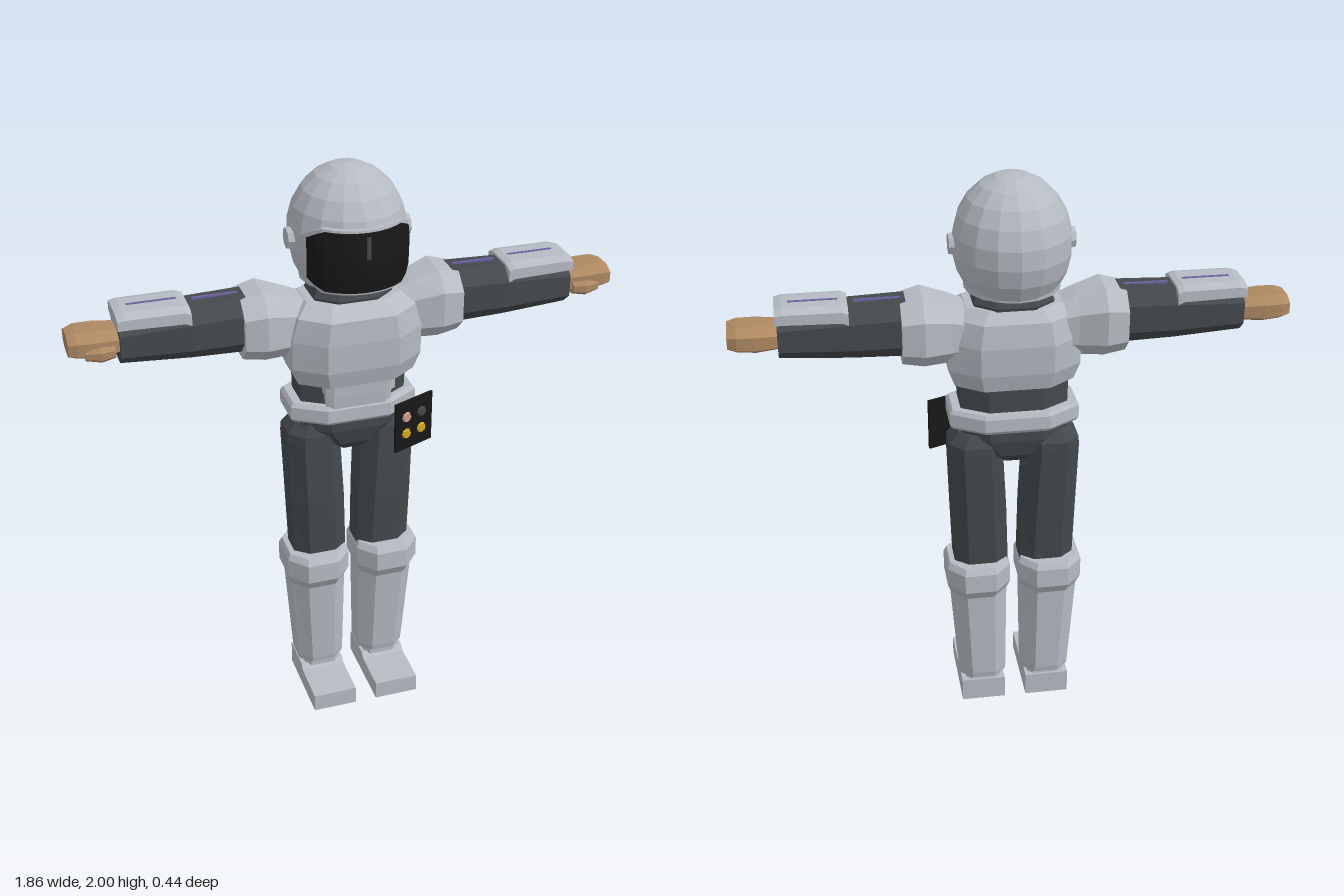
import * as THREE from 'three';

const mat = (name, color) => {
  const m = new THREE.MeshStandardMaterial({ color });
  m.name = name;
  return m;
};

// Faceted normals
function flat(geo) {
  const g = geo.index ? geo.toNonIndexed() : geo;
  g.deleteAttribute('normal');
  g.computeVertexNormals();
  return g;
}

// Chamfered eight-sided sections joined along an axis.
// 'x' rings: [x, y0, y1, z0, z1]; 'y' rings: [y, z0, z1, x0, x1]
function loft(axis, rings, k = 0.5) {
  const oct = [[1, -k], [1, k], [k, 1], [-k, 1], [-1, k], [-1, -k], [-k, -1], [k, -1]];
  const place = (t, a, b) => (axis === 'x' ? [t, a, b] : [b, t, a]);
  const point = (r, i) => {
    const [u, v] = oct[i % 8];
    const [t, a0, a1, b0, b1] = r;
    return place(t, (a0 + a1) / 2 + (u * (a1 - a0)) / 2, (b0 + b1) / 2 + (v * (b1 - b0)) / 2);
  };
  const mid = (r) => place(r[0], (r[1] + r[2]) / 2, (r[3] + r[4]) / 2);
  const first = rings[0], last = rings[rings.length - 1], pos = [];
  for (let i = 0; i < 8; i++) {
    pos.push(...mid(first), ...point(first, i + 1), ...point(first, i));
    pos.push(...mid(last), ...point(last, i), ...point(last, i + 1));
    for (let j = 0; j + 1 < rings.length; j++) {
      const a = point(rings[j], i), b = point(rings[j], i + 1);
      const c = point(rings[j + 1], i + 1), d = point(rings[j + 1], i);
      pos.push(...a, ...b, ...c, ...a, ...c, ...d);
    }
  }
  const g = new THREE.BufferGeometry();
  g.setAttribute('position', new THREE.Float32BufferAttribute(pos, 3));
  return flat(g);
}

// Mirror a geometry across x and restore its winding
function mirrored(geo) {
  const g = geo.index ? geo.toNonIndexed() : geo.clone();
  const p = g.attributes.position;
  for (let i = 0; i < p.count; i += 3) {
    const v = [0, 2, 1].map((j) => new THREE.Vector3().fromBufferAttribute(p, i + j));
    v.forEach((q, j) => p.setXYZ(i + j, -q.x, q.y, q.z));
  }
  return flat(g);
}

const box = (w, h, d, x, y, z) => new THREE.BoxGeometry(w, h, d).translate(x, y, z);

// Curved plate with cut corners, wrapped around the helmet front
function visorPlate(angle, half, offset) {
  const g = new THREE.BoxGeometry(2, 2, 1, 12, 4, 1);
  const p = g.attributes.position;
  for (let i = 0; i < p.count; i++) {
    const u = p.getX(i), v = p.getY(i);
    const s = p.getZ(i) > 0 ? 1 + offset : 0.8;
    const a = u * angle;
    const h = half * (1 - Math.max(0, Math.abs(u) - 0.7) * 1.1);
    p.setXYZ(i, 0.19 * s * Math.sin(a), 1.742 + v * h, 0.02 + (0.2 - 0.012 * v * v) * s * Math.cos(a));
  }
  return flat(g);
}

export function createModel() {
  const root = new THREE.Group();
  root.name = 'spaceSuitFigure';
  const shell = mat('light grey shell', 0xb6bbc3);
  const suit = mat('dark suit', 0x44494d);
  const skin = mat('tan skin', 0xad8862);
  const black = mat('black', 0x181818);
  const purple = mat('purple stripe', 0x6c62a0);
  const yellow = mat('yellow button', 0xd2a81e);
  const peach = mat('peach button', 0xc79c80);

  const add = (name, geo, material) => {
    const m = new THREE.Mesh(geo, material);
    m.name = name;
    root.add(m);
    return m;
  };
  const pair = (name, geo, material) => {
    add(name + 'Left', geo, material);
    add(name + 'Right', mirrored(geo), material);
  };

  // Helmet
  add('helmet', flat(new THREE.SphereGeometry(1, 16, 8, 0, Math.PI * 2, 0, 2.25)
    .scale(0.197, 0.23, 0.21).translate(0, 1.77, -0.007)), shell);
  add('helmetRim', flat(new THREE.CylinderGeometry(0.163, 0.16, 0.03, 16)
    .translate(0, 1.635, -0.01)), shell);
  add('visorFrame', visorPlate(1.2, 0.108, -0.02), shell);
  add('visor', visorPlate(1.1, 0.1, 0.01), black);
  add('visorGlint', box(0.014, 0.075, 0.004, 0, 1.795, 0.219), suit);
  pair('earDisc', flat(new THREE.CylinderGeometry(0.035, 0.042, 0.03, 8)
    .rotateZ(-Math.PI / 2).translate(0.192, 1.77, 0)), shell);

  // Neck and collar
  add('neck', flat(new THREE.CylinderGeometry(0.08, 0.08, 0.1, 8).translate(0, 1.59, 0)), skin);
  add('collar', loft('y', [
    [1.55, -0.1, 0.11, -0.125, 0.125], [1.575, -0.105, 0.115, -0.135, 0.135],
    [1.605, -0.09, 0.1, -0.12, 0.12]]), suit);

  // Torso
  add('chestPlate', loft('y', [
    [1.29, -0.125, 0.16, -0.2, 0.2], [1.35, -0.14, 0.175, -0.222, 0.222],
    [1.45, -0.145, 0.18, -0.222, 0.222], [1.53, -0.135, 0.175, -0.2, 0.2],
    [1.567, -0.1, 0.115, -0.16, 0.16]], 0.55), shell);
  add('waist', loft('y', [
    [1.12, -0.11, 0.11, -0.18, 0.18], [1.31, -0.11, 0.115, -0.185, 0.185]]), suit);
  add('abdomenPlate', loft('y', [
    [1.18, 0.02, 0.13, -0.11, 0.11], [1.24, 0.02, 0.135, -0.115, 0.115],
    [1.25, 0.02, 0.155, -0.12, 0.12], [1.3, 0.02, 0.157, -0.12, 0.12]], 0.8), shell);
  add('belt', loft('y', [
    [1.133, -0.13, 0.125, -0.21, 0.21], [1.145, -0.138, 0.135, -0.22, 0.22],
    [1.19, -0.138, 0.135, -0.22, 0.22], [1.203, -0.13, 0.125, -0.21, 0.21]]), shell);
  add('pelvis', loft('y', [
    [0.99, -0.06, 0.05, -0.06, 0.06], [1.03, -0.1, 0.09, -0.11, 0.11],
    [1.09, -0.115, 0.108, -0.175, 0.175], [1.14, -0.115, 0.11, -0.185, 0.185]]), suit);

  // Legs
  pair('thigh', loft('y', [
    [0.55, -0.08, 0.075, 0.02, 0.21], [0.8, -0.095, 0.085, 0.027, 0.218],
    [1.04, -0.112, 0.085, 0.04, 0.225], [1.07, -0.112, 0.085, 0.04, 0.222],
    [1.11, -0.09, 0.07, 0.06, 0.19]]), suit);
  pair('kneeCuff', loft('y', [
    [0.46, -0.105, 0.1, 0.03, 0.225], [0.5, -0.128, 0.125, 0.016, 0.24],
    [0.57, -0.128, 0.125, 0.016, 0.24], [0.592, -0.115, 0.11, 0.026, 0.23]]), shell);
  pair('shin', loft('y', [
    [0.1, -0.088, 0.068, 0.034, 0.198], [0.12, -0.092, 0.072, 0.032, 0.2],
    [0.48, -0.108, 0.098, 0.028, 0.226]]), shell);
  pair('ankle', loft('y', [
    [0.05, -0.08, 0.06, 0.05, 0.18], [0.105, -0.075, 0.06, 0.05, 0.18]], 0.7), shell);

  // Boots: side outline extruded across the width
  const outline = new THREE.Shape([[-0.22, 0], [0.085, 0], [0.085, 0.085], [-0.05, 0.085],
    [-0.07, 0.068], [-0.22, 0.065]].map(([a, b]) => new THREE.Vector2(a, b)));
  pair('boot', flat(new THREE.ExtrudeGeometry(outline, { depth: 0.157, bevelEnabled: false })
    .rotateY(Math.PI / 2).translate(0.039, 0, 0)), shell);

  // Arms
  pair('shoulderPad', loft('x', [
    [0.15, 1.39, 1.56, -0.09, 0.08], [0.21, 1.375, 1.585, -0.1, 0.09],
    [0.3, 1.375, 1.613, -0.135, 0.115], [0.373, 1.385, 1.595, -0.12, 0.1]]), shell);
  pair('arm', loft('x', [
    [0.35, 1.408, 1.6, -0.095, 0.08], [0.54, 1.415, 1.592, -0.1, 0.085],
    [0.77, 1.428, 1.572, -0.09, 0.075]]), suit);
  pair('forearmPlate', loft('x', [
    [0.54, 1.535, 1.6, -0.1, 0.085], [0.56, 1.545, 1.607, -0.1, 0.085],
    [0.75, 1.55, 1.607, -0.097, 0.082], [0.775, 1.55, 1.6, -0.095, 0.08]], 0.6), shell);
  pair('upperArmStripe', box(0.15, 0.008, 0.01, 0.445, 1.598, -0.012), purple);
  pair('forearmStripe', box(0.16, 0.006, 0.01, 0.65, 1.606, -0.012), purple);

  // Hands
  pair('hand', loft('x', [
    [0.76, 1.462, 1.54, -0.085, 0.058], [0.84, 1.455, 1.547, -0.096, 0.066],
    [0.9, 1.46, 1.547, -0.094, 0.064], [0.93, 1.468, 1.538, -0.08, 0.055]]), skin);
  pair('thumb', loft('x', [
    [0.785, 1.465, 1.505, 0.03, 0.075], [0.83, 1.458, 1.508, 0.03, 0.085],
    [0.88, 1.465, 1.5, 0.03, 0.07]]), skin);

  // Hip control panel, angled outward
  const panel = new THREE.Group();
  panel.name = 'hipPanel';
  panel.position.set(0.203, 1.082, 0.102);
  panel.rotation.y = 0.39;
  root.add(panel);
  const plate = new THREE.Mesh(new THREE.BoxGeometry(0.166, 0.186, 0.008), black);
  plate.name = 'panelPlate';
  panel.add(plate);
  [[-1, 1, peach], [1, 1, suit], [-1, -1, yellow], [1, -1, yellow]].forEach(([x, y, m]) => {
    const b = new THREE.Mesh(flat(new THREE.CylinderGeometry(0.016, 0.02, 0.008, 8)
      .rotateX(Math.PI / 2)), m);
    b.name = 'panelButton';
    b.position.set(x * 0.034 - 0.001, y * 0.032, 0.007);
    panel.add(b);
  });

  return root;
}
